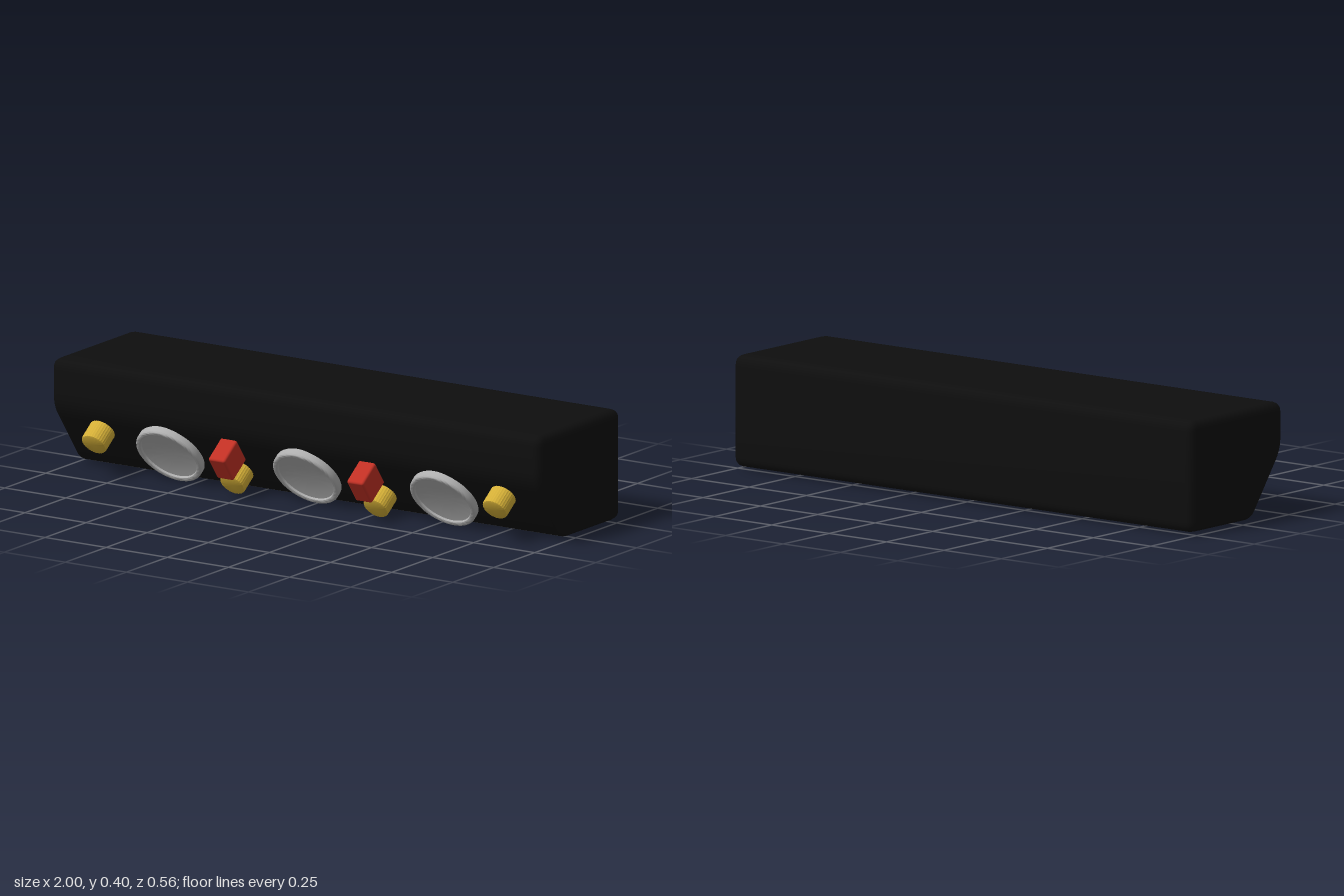
import * as THREE from 'three';
import { toCreasedNormals } from 'three/addons/utils/BufferGeometryUtils.js';
import { RoundedBoxGeometry } from 'three/addons/geometries/RoundedBoxGeometry.js';

const material = (name, color) => {
  const m = new THREE.MeshStandardMaterial({ color });
  m.name = name;
  return m;
};

// Closed outline with each corner [x, y, trim] rounded off
function roundedOutline(corners) {
  const shape = new THREE.Shape();
  const pts = corners.map(([x, y]) => new THREE.Vector2(x, y));
  const n = pts.length;
  corners.forEach(([, , trim], i) => {
    const p = pts[i];
    const toward = (q) => p.clone().add(q.clone().sub(p).setLength(trim));
    const a = toward(pts[(i + n - 1) % n]);
    const b = toward(pts[(i + 1) % n]);
    if (i === 0) shape.moveTo(a.x, a.y);
    else shape.lineTo(a.x, a.y);
    shape.quadraticCurveTo(p.x, p.y, b.x, b.y);
  });
  shape.closePath();
  return shape;
}

// Turned part whose axis points along +z
function turned(profile, segments) {
  const points = profile.map(([r, h]) => new THREE.Vector2(r, h));
  return new THREE.LatheGeometry(points, segments).rotateX(Math.PI / 2);
}

// Knob with fine ribs around its side
function knobGeometry() {
  const g = turned([[0.047, 0], [0.047, 0.062], [0.045, 0.068], [0.039, 0.071], [0, 0.071]], 64);
  const pos = g.attributes.position;
  const rows = 5;
  for (let i = 0; i < pos.count; i++) {
    const column = Math.floor(i / rows);
    const k = column % 2 ? 0.97 : 1;
    pos.setXY(i, pos.getX(i) * k, pos.getY(i) * k);
  }
  return toCreasedNormals(g, 0.6);
}

export function createModel() {
  const black = material('black casing', 0x0e0e0e);
  const silver = material('silver metal', 0xb0b0b0);
  const gold = material('gold metal', 0xd4af37);
  const red = material('red plastic', 0xc03024);
  const model = new THREE.Group();
  model.name = 'controlUnit';

  const add = (parent, name, geometry, mat, x = 0, y = 0, z = 0) => {
    const mesh = new THREE.Mesh(geometry, mat);
    mesh.name = name;
    mesh.position.set(x, y, z);
    parent.add(mesh);
  };

  // Casing: side profile (z, y) swept along x with softened ends
  const bevel = 0.028;
  const outline = roundedOutline([
    [-0.28, 0.015, 0.038], [0.06, 0.015, 0.03], [0.222, 0.235, 0.045],
    [0.222, 0.402, 0.038], [-0.28, 0.402, 0.038],
  ]);
  const casing = new THREE.ExtrudeGeometry(outline, {
    depth: 2 - 2 * bevel, curveSegments: 5, bevelEnabled: true, bevelThickness: bevel,
    bevelSize: bevel, bevelOffset: -bevel, bevelSegments: 4,
  });
  casing.translate(0, 0, -1 + bevel).rotateY(-Math.PI / 2);
  add(model, 'casing', toCreasedNormals(casing, 0.6), black);

  // Sloped panel frame: local y runs up the slope, local z points out of it
  const panel = new THREE.Group();
  panel.name = 'slopedPanel';
  panel.rotation.x = 0.635;
  model.add(panel);
  const surface = 0.0394;

  // Dials: raised rim around a shallow dish
  const dial = toCreasedNormals(turned([
    [0.125, -0.004], [0.125, 0.021], [0.123, 0.025], [0.119, 0.027], [0.111, 0.027],
    [0.107, 0.025], [0.105, 0.018], [0.08, 0.014], [0.04, 0.0115], [0, 0.011],
  ], 64), 0.7);
  for (const x of [-0.56, 0, 0.56]) add(panel, 'dial', dial, silver, x, 0.178, surface);

  // Knobs and switches, mirrored left and right
  const knob = knobGeometry();
  const switchBlock = new RoundedBoxGeometry(0.068, 0.1, 0.105, 3, 0.008);
  for (const side of [-1, 1]) {
    add(panel, 'outerKnob', knob, gold, side * 0.82, 0.236, surface);
    add(panel, 'lowerKnob', knob, gold, side * 0.293, 0.136, surface);
    add(panel, 'switch', switchBlock, red, side * 0.283, 0.244, 0.134 - 0.0525);
  }
  return model;
}
